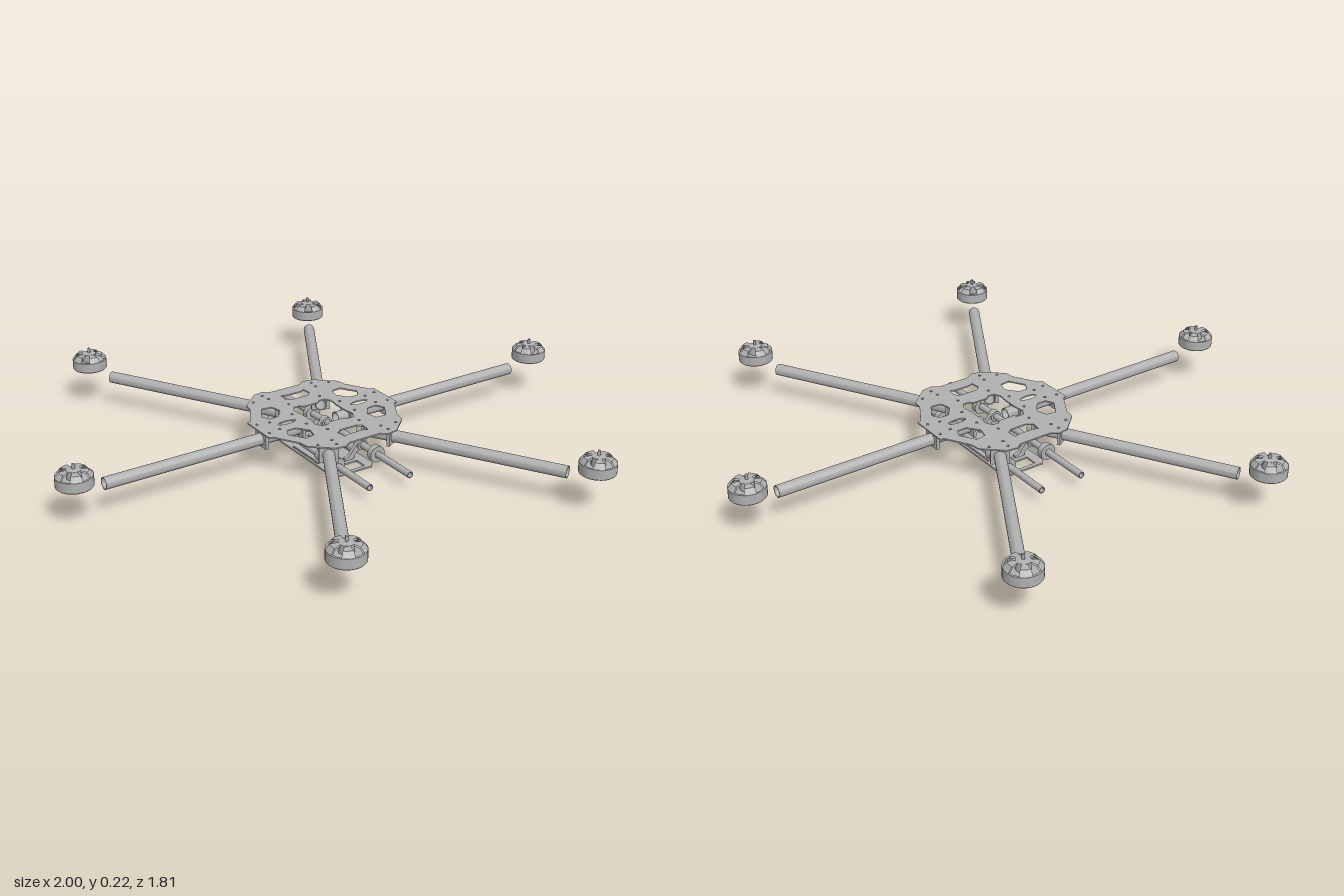
import * as THREE from 'three';
import { toCreasedNormals } from 'three/addons/utils/BufferGeometryUtils.js';

const grey = new THREE.MeshStandardMaterial({ color: 0xb0b0b0 });
grey.name = 'grey';
grey.side = THREE.DoubleSide;

function add(parent, name, geometry, x = 0, y = 0, z = 0) {
  const mesh = new THREE.Mesh(geometry, grey);
  mesh.name = name;
  mesh.position.set(x, y, z);
  parent.add(mesh);
  return mesh;
}

const points = (list) => list.map(([x, y]) => new THREE.Vector2(x, y));

function lathe(list, segments = 32, start = 0, sweep = Math.PI * 2) {
  return toCreasedNormals(new THREE.LatheGeometry(points(list), segments, start, sweep), 0.5);
}

// Hollow tube along +y, from 0 to length
function tube(outer, inner, length, segments = 24) {
  return lathe([[inner, 0], [outer, 0], [outer, length], [inner, length], [inner, 0]], segments);
}

function circlePath(x, y, rx, ry = rx) {
  return new THREE.Path().absellipse(x, y, rx, ry, 0, Math.PI * 2);
}

const polygonPath = (list) => new THREE.Path(points(list));

// Full outline from the quarter where both coordinates are positive
function mirrorQuarter(q) {
  const right = [...q.map(([x, y]) => [x, -y]).reverse(), ...q];
  return [...right, ...right.map(([x, y]) => [-x, y]).reverse()];
}

function extrude(shape, depth) {
  return new THREE.ExtrudeGeometry(shape, { depth, bevelEnabled: false, curveSegments: 8 });
}

// Flat horizontal plate whose top face lies at local y = 0
const flatPlate = (shape, depth) => extrude(shape, depth).rotateX(Math.PI / 2);

function topPlateShape() {
  const shape = new THREE.Shape(points(mirrorQuarter([
    [0.265, 0.07], [0.25, 0.075], [0.2, 0.16], [0.195, 0.195], [0.125, 0.258],
    [0.085, 0.264], [0.062, 0.247], [0.01, 0.247],
  ])));
  // Central opening
  shape.holes.push(polygonPath(mirrorQuarter([
    [0.073, 0.03], [0.078, 0.065], [0.065, 0.09], [0.04, 0.09], [0.03, 0.078], [0.01, 0.078],
  ])));
  for (const s of [-1, 1]) {
    // Front and back windows, side slots
    shape.holes.push(polygonPath([
      [-0.032, 0.15], [0.032, 0.15], [0.052, 0.165], [0.048, 0.2],
      [0.03, 0.193], [-0.03, 0.193], [-0.048, 0.2], [-0.052, 0.165],
    ].map(([x, y]) => [x, y * s])));
    shape.holes.push(circlePath(0.15 * s, 0, 0.035, 0.012));
    for (const t of [-1, 1]) {
      // Corner windows and screw holes
      shape.holes.push(polygonPath([
        [0.118, 0.095], [0.128, 0.135], [0.165, 0.14], [0.2, 0.085], [0.185, 0.055], [0.15, 0.055],
      ].map(([x, y]) => [x * s, y * t])));
      for (const [x, y] of [[0.245, 0.04], [0.2, 0.032], [0.1, 0.045], [0.1, 0.2],
        [0.16, 0.205], [0.065, 0.122], [0.105, 0.235]]) {
        shape.holes.push(circlePath(x * s, y * t, 0.005));
      }
    }
  }
  return shape;
}

function trayShape() {
  const shape = new THREE.Shape(points(mirrorQuarter([[0.086, 0.175], [0.07, 0.195], [0.02, 0.195]])));
  for (const s of [-1, 1]) {
    shape.holes.push(polygonPath([[-0.05, 0.132], [0.05, 0.132], [0.05, 0.18], [-0.05, 0.18]]
      .map(([x, y]) => [x, y * s])));
    shape.holes.push(polygonPath([[0.07, -0.08], [0.078, -0.08], [0.078, 0.08], [0.07, 0.08]]
      .map(([x, y]) => [x * s, y])));
  }
  return shape;
}

function createMotor() {
  const motor = new THREE.Group();
  motor.name = 'motor';
  add(motor, 'motorBase', lathe([
    [0, 0.138], [0.059, 0.138], [0.062, 0.141], [0.062, 0.176], [0.055, 0.176], [0.055, 0.166], [0, 0.166],
  ], 40));
  // Five spokes leave openings in the sloping top
  for (let i = 0; i < 5; i++) {
    add(motor, 'motorSpoke', lathe([
      [0.062, 0.175], [0.047, 0.193], [0.018, 0.196], [0.018, 0.19], [0.044, 0.187], [0.055, 0.172], [0.062, 0.175],
    ], 6, i * Math.PI * 0.4, Math.PI * 0.22));
  }
  add(motor, 'motorHub', lathe([[0.024, 0.166], [0.024, 0.196], [0.012, 0.199], [0, 0.199]], 24));
  add(motor, 'motorShaft', new THREE.CylinderGeometry(0.005, 0.005, 0.02, 12), 0, 0.206, 0);
  return motor;
}

// Square bracket around an arm, facing along the arm
function armBracketGeometry() {
  const shape = new THREE.Shape(points([[-0.033, -0.028], [0.033, -0.028], [0.033, 0.03], [-0.033, 0.03]]));
  shape.holes.push(circlePath(0, 0, 0.0205));
  return extrude(shape, 0.012).translate(0, 0, -0.006).rotateY(Math.PI / 2);
}

function createArm(angle, start, end, motorRadius, brackets) {
  const arm = new THREE.Group();
  arm.name = 'arm';
  add(arm, 'armTube', tube(0.021, 0.018, end - start).rotateZ(-Math.PI / 2), start, 0.117, 0);
  for (const x of brackets) add(arm, 'armBracket', armBracketGeometry(), x, 0.117, 0);
  const motor = createMotor();
  motor.position.x = motorRadius;
  arm.add(motor);
  arm.rotation.y = -angle;
  return arm;
}

export function createModel() {
  const model = new THREE.Group();
  model.name = 'hexacopterFrame';

  add(model, 'topPlate', flatPlate(topPlateShape(), 0.005), 0, 0.152, 0);
  add(model, 'batteryTray', flatPlate(trayShape(), 0.006), 0, 0.006, 0);

  // Six arms, the two side ones set slightly further in
  for (let i = 0; i < 6; i++) {
    const angle = i * Math.PI / 3;
    model.add(i % 3 === 0
      ? createArm(angle, 0.05, 0.84, 0.938, [0.1, 0.25])
      : createArm(angle, 0.136, 0.879, 0.975, [0.165, 0.26]));
  }

  // Rails with their clamps and tray hangers
  for (const s of [-1, 1]) {
    const x = 0.082 * s;
    add(model, 'rail', tube(0.012, 0.009, 0.79, 20).rotateX(Math.PI / 2), x, 0.052, -0.395);
    for (const t of [-1, 1]) {
      add(model, 'railClamp', tube(0.029, 0.012, 0.022).rotateX(Math.PI / 2), x, 0.052, 0.2 * t - 0.011);
      add(model, 'hangerRing', tube(0.02, 0.012, 0.024).rotateX(Math.PI / 2), x, 0.052, 0.11 * t - 0.012);
      const strut = new THREE.Shape(points([
        [0.07, 0.066], [0.05, 0.045], [0.03, 0.02], [0.012, 0.014], [0.012, 0.005],
        [0.05, 0.005], [0.05, 0.012], [0.06, 0.028], [0.076, 0.034],
      ].map(([px, py]) => [px * s, py])));
      add(model, 'hangerStrut', extrude(strut, 0.014), 0, 0, 0.11 * t - 0.007);
    }
  }
  return model;
}
